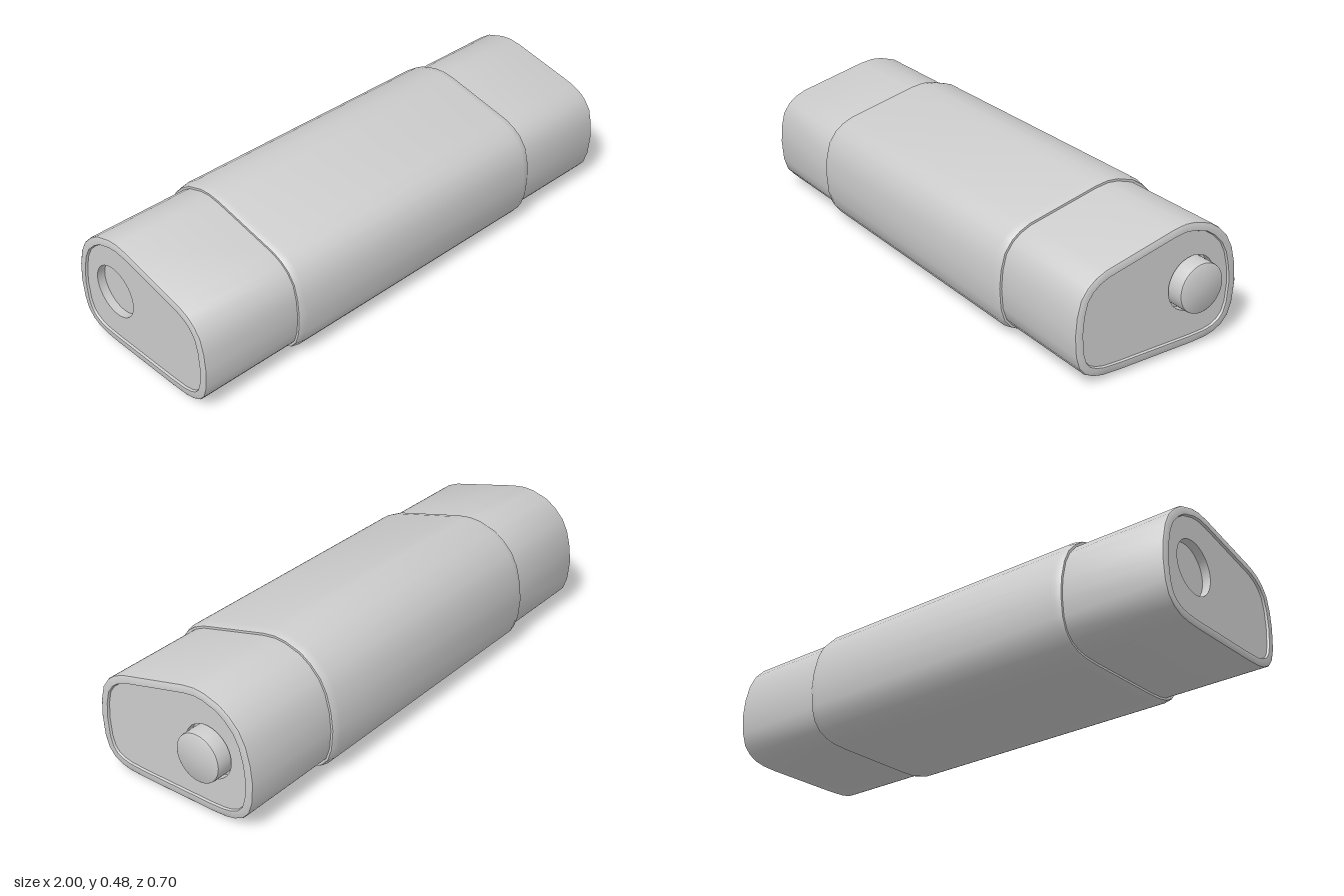
import * as THREE from 'three';
import { toCreasedNormals } from 'three/addons/utils/BufferGeometryUtils.js';

const material = new THREE.MeshStandardMaterial({ color: 0xcccccc });

// Sleeve cross-section as [z, y], from the front edge over the top to the back and underneath
const PROFILE = [
  [0.352, 0.195], [0.347, 0.262], [0.332, 0.322], [0.302, 0.364], [0.268, 0.39], [0.225, 0.409],
  [-0.047, 0.474], [-0.1, 0.481], [-0.145, 0.477], [-0.213, 0.456], [-0.257, 0.426], [-0.298, 0.384],
  [-0.325, 0.333], [-0.343, 0.264], [-0.35, 0.195], [-0.343, 0.117], [-0.326, 0.066], [-0.295, 0.032],
  [-0.255, 0.012], [-0.213, 0.003], [-0.15, 0], [0.15, 0], [0.222, 0.003], [0.262, 0.012],
  [0.302, 0.032], [0.33, 0.066], [0.346, 0.117],
];
const SOCKET = { z: -0.143, y: 0.241, r: 0.098, depth: 0.03 };
const CAP_INSET = 0.016, PANEL_INSET = 0.048, PANEL_DEPTH = 0.008;

// Profile moved inwards by d with mitred corners
function inset(d) {
  const n = PROFILE.length;
  const normal = (a, b) => new THREE.Vector2(b[1] - a[1], a[0] - b[0]).normalize();
  return PROFILE.map((p, i) => {
    const n1 = normal(PROFILE[(i + n - 1) % n], p);
    const n2 = normal(p, PROFILE[(i + 1) % n]);
    const k = d / (1 + n1.dot(n2));
    return [p[0] - (n1.x + n2.x) * k, p[1] - (n1.y + n2.y) * k];
  });
}

// Skin through stations [x, inset]
function loft(stations) {
  const n = PROFILE.length, positions = [], index = [];
  stations.forEach(([x, d], s) => {
    inset(d).forEach(([z, y], i) => {
      positions.push(x, y, z);
      if (s === stations.length - 1) return;
      const a = s * n + i, b = s * n + (i + 1) % n;
      index.push(a, a + n, b, b, a + n, b + n);
    });
  });
  const g = new THREE.BufferGeometry();
  g.setAttribute('position', new THREE.Float32BufferAttribute(positions, 3));
  g.setIndex(index);
  return toCreasedNormals(g, 0.6);
}

function part(name, geometry) {
  const mesh = new THREE.Mesh(geometry, material);
  mesh.name = name;
  return mesh;
}

// Turned part on the socket axis, points [radius, height], height pointing out of the end
function turned(name, points, side, x) {
  const g = new THREE.LatheGeometry(points.map(([r, h]) => new THREE.Vector2(r, h)), 48);
  g.rotateZ(-side * Math.PI / 2);
  g.translate(x, SOCKET.y, SOCKET.z);
  return part(name, toCreasedNormals(g, 0.6));
}

// Flat end panel with the round socket opening
function panel(side, x) {
  const shape = new THREE.Shape(inset(PANEL_INSET).map(([z, y]) => new THREE.Vector2(-side * z, y)));
  const hole = new THREE.Path();
  hole.absarc(-side * SOCKET.z, SOCKET.y, SOCKET.r, 0, Math.PI * 2, true);
  shape.holes.push(hole);
  const g = new THREE.ShapeGeometry(shape, 24);
  g.rotateY(side * Math.PI / 2);
  g.translate(x, 0, 0);
  return part('endPanel', g);
}

// Narrower end with rounded rim, recessed panel and socket
function endCap(name, side, start, end) {
  const cap = new THREE.Group();
  cap.name = name;
  const panelX = end - side * PANEL_DEPTH;
  const stations = [
    [start, CAP_INSET], [end - side * 0.008, CAP_INSET], [end - side * 0.003, CAP_INSET + 0.002],
    [end, CAP_INSET + 0.007], [end, PANEL_INSET - 0.003], [panelX, PANEL_INSET],
  ];
  if (side < 0) stations.reverse();
  cap.add(part('capShell', loft(stations)));
  cap.add(panel(side, panelX));
  const { r, depth } = SOCKET;
  cap.add(turned('socket', [[r, 0], [r, -depth], [0, -depth]], side, panelX));
  return cap;
}

export function createModel() {
  const model = new THREE.Group();
  model.name = 'capsuleBody';

  // Central sleeve with a shallow taper and a step at both ends
  model.add(part('sleeve', loft([
    [-0.605, CAP_INSET], [-0.605, 0.008], [-0.602, 0.006], [-0.58, 0.002], [-0.572, 0],
    [0.53, 0], [0.538, 0.002], [0.557, 0.006], [0.56, 0.008], [0.56, CAP_INSET],
  ])));

  model.add(endCap('leftCap', 1, 0.55, 0.955));
  model.add(endCap('rightCap', -1, -0.595, -1));

  // Push button standing in the left socket
  model.add(turned('button', [
    [0.09, -0.08], [0.09, -0.008], [0.0885, -0.003], [0.084, 0], [0, 0],
  ], 1, 1));

  return model;
}
